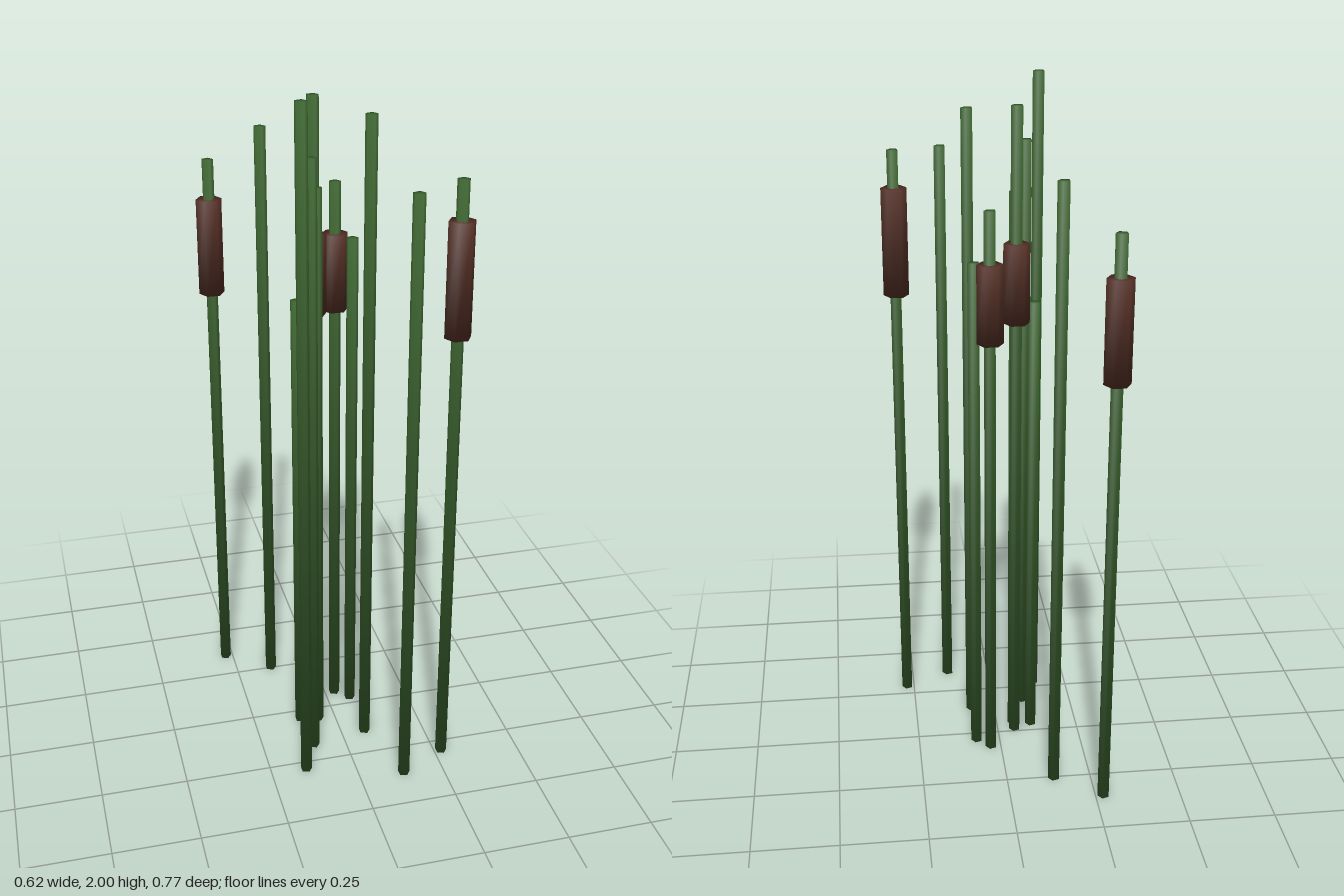
import * as THREE from 'three';

const green = new THREE.MeshStandardMaterial({ color: 0x3a622d });
green.name = 'reed green';
const brown = new THREE.MeshStandardMaterial({ color: 0x522e24 });
brown.name = 'seed head brown';

// Upright prism between two heights, with normals rounded over its rims
function prism(name, radius, sides, bottom, top, material) {
  const geo = new THREE.CylinderGeometry(radius, radius, top - bottom, sides, 1, false, Math.PI / 2);
  const { position, normal } = geo.attributes;
  const n = new THREE.Vector3();
  for (let i = 0; i < position.count; i++) {
    n.fromBufferAttribute(position, i);
    n.set(n.x / radius, 0.75 * Math.sign(n.y), n.z / radius).normalize();
    normal.setXYZ(i, n.x, n.y, n.z);
  }
  const mesh = new THREE.Mesh(geo, material);
  mesh.name = name;
  mesh.position.y = (bottom + top) / 2;
  return mesh;
}

// Each reed: x, z, height, then bottom and top of its seed head if it has one
const reeds = [
  [-0.273, -0.354, 1.698, 1.295, 1.582],
  [0.03, -0.072, 1.692, 1.32, 1.545],
  [-0.053, 0.016, 1.952, 1.348, 1.577],
  [0.271, 0.295, 1.784, 1.355, 1.675],
  [-0.14, -0.253, 1.81],
  [0.071, -0.033, 1.54],
  [-0.107, 0.04, 1.4],
  [-0.053, 0.05, 1.715],
  [0.071, 0.145, 1.925],
  [-0.097, 0.175, 1.83],
  [-0.145, 0.28, 2],
  [0.132, 0.367, 1.778],
];

export function createModel() {
  const model = new THREE.Group();
  model.name = 'reeds';
  for (const [x, z, height, headBottom, headTop] of reeds) {
    const reed = new THREE.Group();
    reed.name = headTop ? 'cattail' : 'bareReed';
    reed.position.set(x, 0, z);
    reed.add(prism('stem', 0.0175, 5, 0, height, green));
    if (headTop) reed.add(prism('seedHead', 0.0375, 6, headBottom, headTop, brown));
    model.add(reed);
  }
  return model;
}
